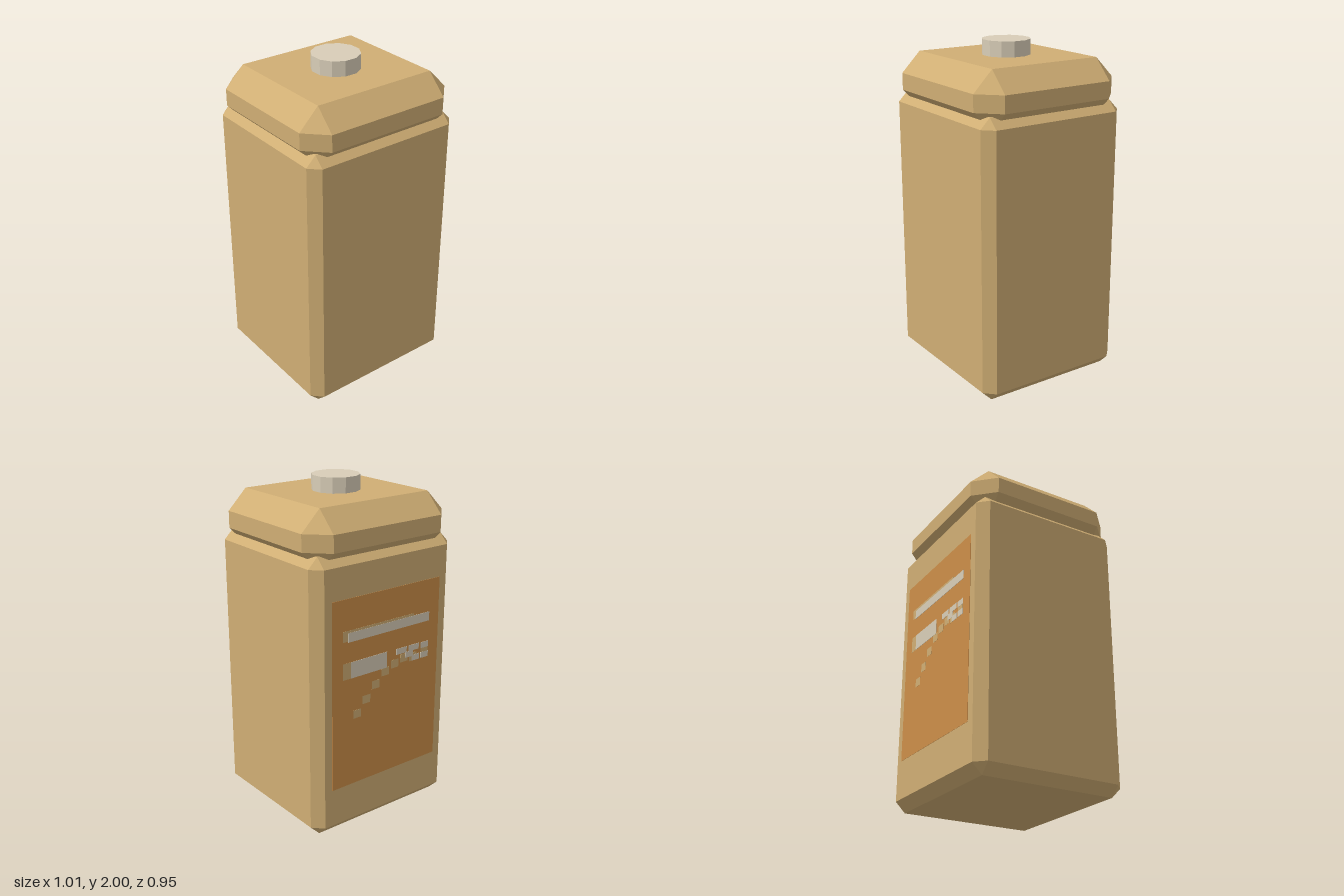
import * as THREE from 'three';
import { ConvexGeometry } from 'three/addons/geometries/ConvexGeometry.js';

const material = (name, color) => {
  const m = new THREE.MeshStandardMaterial({ color });
  m.name = name;
  return m;
};

// Box with every edge cut by c, given by half width, half depth and height range
function chamferedBox(hx, hz, y0, y1, c) {
  const points = [];
  const cy = (y0 + y1) / 2, hy = (y1 - y0) / 2;
  for (const sx of [-1, 1]) for (const sy of [-1, 1]) for (const sz of [-1, 1]) {
    const add = (x, y, z) => points.push(new THREE.Vector3(sx * x, cy + sy * y, sz * z));
    add(hx, hy - c, hz - c);
    add(hx - c, hy, hz - c);
    add(hx - c, hy - c, hz);
  }
  return new ConvexGeometry(points);
}

export function createModel() {
  const group = new THREE.Group();
  const tan = material('tan', 0xd0ae74);
  const orange = material('orange', 0xcc8e49);
  const pale = material('paleGrey', 0xd8cdb7);

  const add = (name, geometry, mat, parent = group) => {
    const mesh = new THREE.Mesh(geometry, mat);
    mesh.name = name;
    parent.add(mesh);
    return mesh;
  };

  // Canister body and the lid that sinks slightly into it
  add('body', chamferedBox(0.505, 0.47, 0, 1.67, 0.06), tan);
  add('lid', chamferedBox(0.505, 0.474, 1.57, 1.91, 0.12), tan);

  // Twelve-sided knob
  const knobGeometry = new THREE.CylinderGeometry(0.142, 0.142, 0.1, 12).toNonIndexed();
  knobGeometry.rotateY(Math.PI / 12);
  knobGeometry.computeVertexNormals();
  add('knob', knobGeometry, pale).position.y = 1.95;

  // Back label, with printed marks as thin plates
  const label = new THREE.Group();
  label.name = 'backLabel';
  group.add(label);
  const plate = (name, x0, x1, y0, y1, lift, mat) => {
    const p = add(name, new THREE.BoxGeometry(Math.abs(x1 - x0), y1 - y0, lift), mat, label);
    p.position.set((x0 + x1) / 2, (y0 + y1) / 2, -0.47 - lift / 2);
  };
  plate('labelPanel', -0.395, 0.395, 0.29, 1.425, 0.002, orange);

  // Upper bar with its tan edge
  plate('upperBarShade', -0.2, 0.32, 1.18, 1.242, 0.003, tan);
  plate('upperBar', -0.32, 0.285, 1.173, 1.228, 0.004, pale);

  // Lower block
  plate('lowerBlockShade', 0.2, 0.32, 0.956, 1.053, 0.003, tan);
  plate('lowerBlock', 0, 0.265, 0.956, 1.053, 0.004, pale);

  // Trail of small tan squares climbing to the broken patch
  const trail = [[0.216, 0.728], [0.149, 0.8], [0.082, 0.873], [0.01, 0.935],
    [-0.06, 0.965], [-0.13, 0.985], [-0.2, 0.975], [-0.29, 1.0]];
  for (const [x, y] of trail) plate('trailMark', x - 0.028, x + 0.028, y - 0.025, y + 0.025, 0.003, tan);

  // Broken pale patch
  const flecks = [[-0.11, 1.033, 0.08], [-0.205, 1.033, 0.08], [-0.29, 1.03, 0.06],
    [-0.17, 0.998, 0.06], [-0.22, 0.968, 0.06], [-0.29, 0.968, 0.06]];
  for (const [x, y, w] of flecks) plate('patchFleck', x - w / 2, x + w / 2, y - 0.018, y + 0.018, 0.004, pale);

  return group;
}
